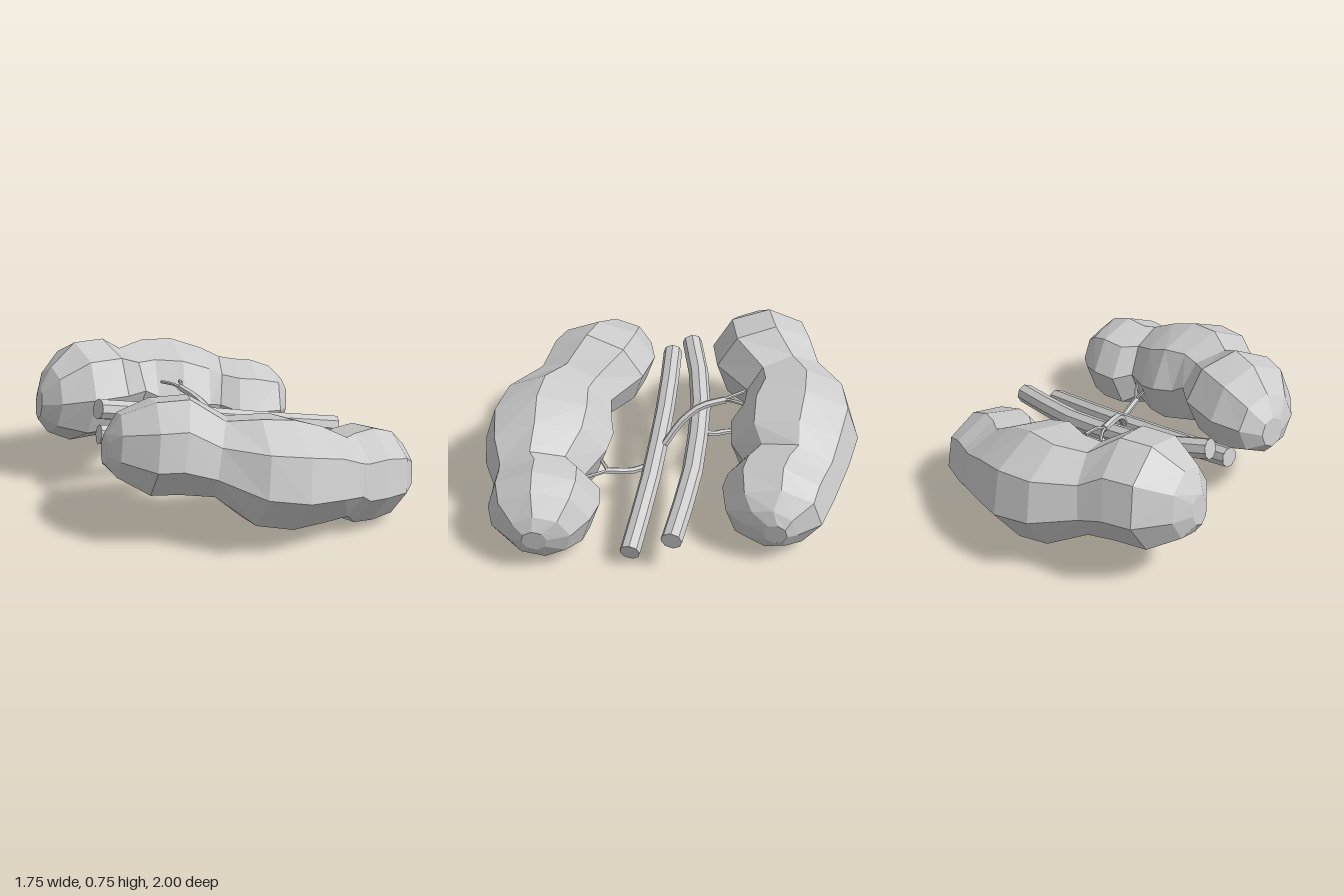
import * as THREE from 'three';

const material = new THREE.MeshStandardMaterial({ color: 0xcccccc, flatShading: true });
const SIDES = 8;
const TWIST = -0.12; // octagon corners sit slightly turned towards the outer side

// Kidney stations: [inner x, inner z, outer x, outer z, top y, bottom y]; z is measured outward
const FRONT_STATIONS = [
  [-0.69, 0.28, -0.70, 0.43, 0.54, 0.38],
  [-0.61, 0.19, -0.66, 0.55, 0.64, 0.32],
  [-0.45, 0.15, -0.52, 0.71, 0.71, 0.24],
  [-0.24, 0.19, -0.40, 0.75, 0.72, 0.24],
  [-0.07, 0.34, -0.25, 0.79, 0.62, 0.24],
  [0.00, 0.33, -0.05, 0.95, 0.64, 0.10],
  [0.12, 0.30, 0.15, 0.995, 0.62, 0.06],
  [0.23, 0.32, 0.35, 0.95, 0.56, 0.06],
  [0.40, 0.41, 0.48, 0.88, 0.48, 0.06],
  [0.47, 0.32, 0.52, 0.885, 0.48, 0.01],
  [0.60, 0.30, 0.62, 0.88, 0.49, 0.00],
  [0.70, 0.33, 0.75, 0.83, 0.45, 0.01],
  [0.81, 0.41, 0.83, 0.73, 0.36, 0.07],
  [0.86, 0.52, 0.87, 0.65, 0.29, 0.16],
];
const BACK_STATIONS = [
  [-0.86, 0.33, -0.87, 0.44, 0.54, 0.37],
  [-0.77, 0.23, -0.84, 0.55, 0.65, 0.29],
  [-0.60, 0.17, -0.73, 0.72, 0.75, 0.21],
  [-0.41, 0.21, -0.58, 0.77, 0.74, 0.20],
  [-0.26, 0.39, -0.46, 0.81, 0.64, 0.21],
  [-0.19, 0.38, -0.26, 0.96, 0.65, 0.11],
  [-0.05, 0.32, -0.06, 1.005, 0.64, 0.06],
  [0.10, 0.33, 0.15, 0.96, 0.57, 0.06],
  [0.19, 0.40, 0.30, 0.915, 0.50, 0.06],
  [0.28, 0.33, 0.37, 0.89, 0.49, 0.01],
  [0.38, 0.31, 0.46, 0.86, 0.48, 0.00],
  [0.54, 0.34, 0.55, 0.83, 0.43, 0.02],
  [0.61, 0.42, 0.64, 0.71, 0.35, 0.08],
  [0.66, 0.54, 0.67, 0.66, 0.28, 0.15],
];

// Skins octagonal sections into a closed body; side is the z direction it bulges to
function kidney(name, stations, side) {
  const pos = [], index = [];
  const n = stations.length;
  for (const [ix, iz, ox, oz, top, bottom] of stations) {
    const cy = (top + bottom) / 2, ry = (top - bottom) / 2;
    for (let k = 0; k < SIDES; k++) {
      const a = (k / SIDES) * Math.PI * 2 + TWIST;
      const t = 0.5 + 0.505 * Math.cos(a), h = 1.01 * ry * Math.sin(a);
      // sections lean with the downhill slope of the body
      pos.push(ix + (ox - ix) * t + 0.15 * h, cy + h, side * (iz + (oz - iz) * t));
    }
  }
  const tri = (a, b, c) => (side > 0 ? index.push(a, b, c) : index.push(a, c, b));
  for (let i = 0; i < n - 1; i++) {
    for (let k = 0; k < SIDES; k++) {
      const a = i * SIDES + k, b = i * SIDES + (k + 1) % SIDES;
      tri(a, a + SIDES, b);
      tri(b, a + SIDES, b + SIDES);
    }
  }
  // end caps
  const last = (n - 1) * SIDES;
  for (let k = 1; k < SIDES - 1; k++) {
    tri(0, k, k + 1);
    tri(last, last + k + 1, last + k);
  }
  const geometry = new THREE.BufferGeometry();
  geometry.setAttribute('position', new THREE.Float32BufferAttribute(pos, 3));
  geometry.setIndex(index);
  const flat = geometry.toNonIndexed();
  flat.computeVertexNormals();
  const mesh = new THREE.Mesh(flat, material);
  mesh.name = name;
  return mesh;
}

// Capped tube through the given points
function vessel(name, points, radius, sides, segments) {
  const pts = points.map((p) => new THREE.Vector3(...p));
  const curve = new THREE.CatmullRomCurve3(pts, false, 'catmullrom', 0.4);
  const group = new THREE.Group();
  group.name = name;
  const tube = new THREE.Mesh(new THREE.TubeGeometry(curve, segments, radius, sides), material);
  tube.name = name + 'Wall';
  group.add(tube);
  for (const end of [0, 1]) {
    const cap = new THREE.Mesh(new THREE.CircleGeometry(radius, sides), material);
    cap.name = name + 'End';
    const dir = curve.getTangent(end).multiplyScalar(end ? 1 : -1);
    cap.position.copy(pts[end ? pts.length - 1 : 0]);
    cap.quaternion.setFromUnitVectors(new THREE.Vector3(0, 0, 1), dir);
    group.add(cap);
  }
  return group;
}

export function createModel() {
  const model = new THREE.Group();
  model.name = 'kidneysWithVessels';

  model.add(kidney('frontKidney', FRONT_STATIONS, 1));
  model.add(kidney('backKidney', BACK_STATIONS, -1));

  // Two main vessels running between the kidneys
  model.add(vessel('frontMainVessel',
    [[-0.65, 0.42, 0.07], [-0.24, 0.335, 0.06], [0.29, 0.215, 0.08], [0.755, 0.10, 0.125]], 0.053, 8, 6));
  model.add(vessel('backMainVessel',
    [[-0.62, 0.515, -0.045], [-0.24, 0.41, -0.135], [0.29, 0.295, -0.145], [0.78, 0.22, -0.09]], 0.055, 8, 6));

  // Branches to the back kidney
  model.add(vessel('backUpperBranch',
    [[0.08, 0.29, 0.03], [0.02, 0.40, -0.05], [-0.04, 0.47, -0.15], [-0.09, 0.49, -0.28]], 0.02, 6, 8));
  model.add(vessel('backUpperForkRight', [[-0.09, 0.49, -0.27], [-0.12, 0.50, -0.32], [-0.17, 0.50, -0.38]], 0.01, 6, 4));
  model.add(vessel('backUpperForkLeft', [[-0.09, 0.49, -0.27], [-0.07, 0.50, -0.32], [-0.06, 0.49, -0.38]], 0.01, 6, 4));
  model.add(vessel('backLowerBranch',
    [[0.03, 0.35, -0.17], [-0.02, 0.31, -0.23], [-0.09, 0.28, -0.29], [-0.14, 0.25, -0.40]], 0.016, 6, 6));

  // Branch to the front kidney
  model.add(vessel('frontBranch',
    [[0.19, 0.22, 0.11], [0.23, 0.21, 0.19], [0.27, 0.23, 0.32]], 0.018, 6, 6));
  model.add(vessel('frontForkRight', [[0.27, 0.23, 0.31], [0.25, 0.27, 0.34], [0.24, 0.31, 0.37]], 0.01, 6, 4));
  model.add(vessel('frontForkLeft', [[0.27, 0.23, 0.31], [0.31, 0.24, 0.35], [0.37, 0.25, 0.42]], 0.01, 6, 4));

  return model;
}
